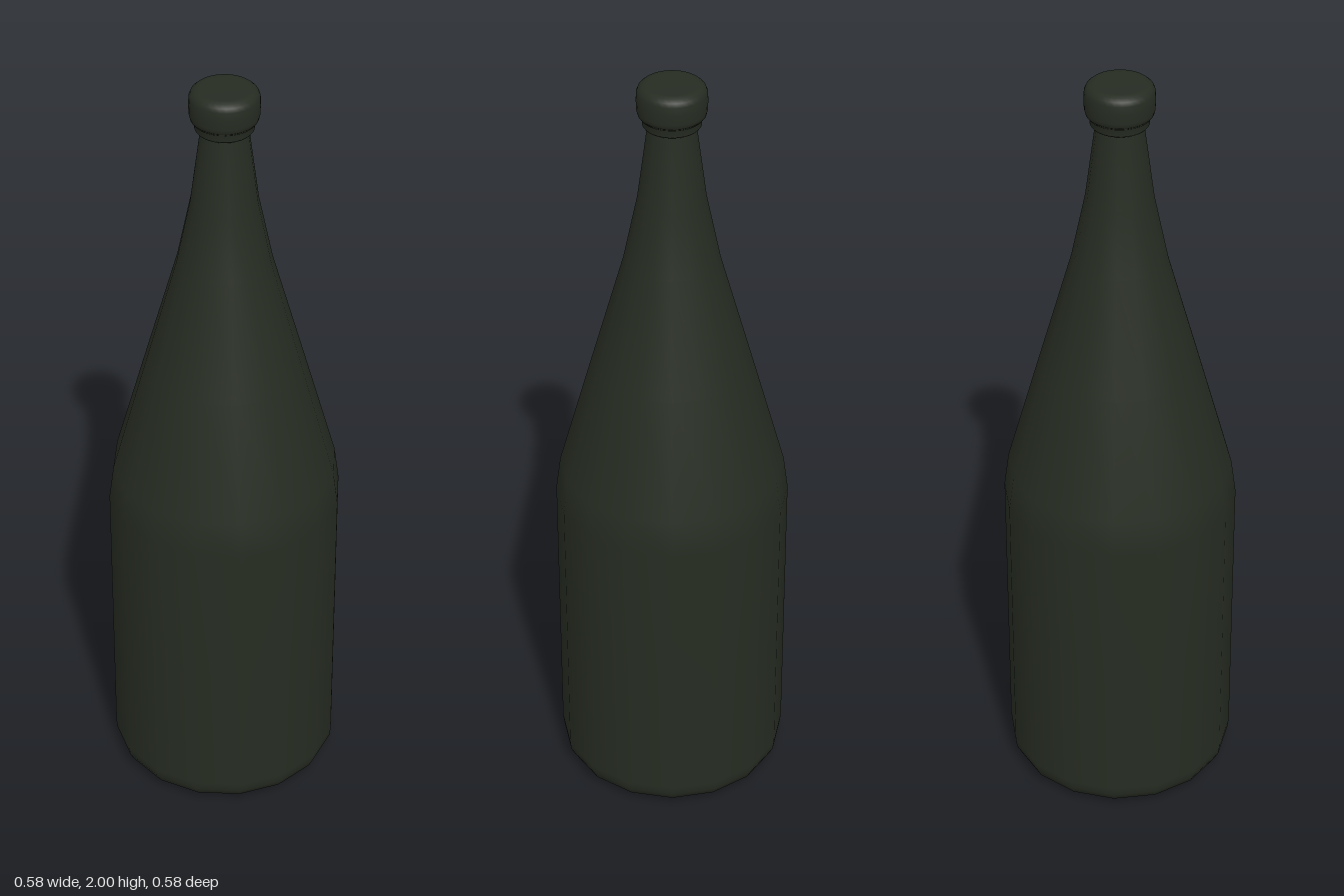
import * as THREE from 'three';

const glass = new THREE.MeshStandardMaterial({ color: 0x262c22 });

// Revolve a list of [radius, height] pairs, listed from bottom to top
function turned(name, profile, sides) {
  const points = profile.map(([r, y]) => new THREE.Vector2(r, y));
  // Half a step of rotation puts flat sides on the axes
  const mesh = new THREE.Mesh(new THREE.LatheGeometry(points, sides, Math.PI / sides), glass);
  mesh.name = name;
  return mesh;
}

export function createModel() {
  const bottle = new THREE.Group();
  bottle.name = 'bottle';

  // Rounded base, straight body, sloping shoulder and slim neck
  bottle.add(turned('body', [
    [0, 0], [0.1, 0], [0.235, 0.002], [0.262, 0.008], [0.282, 0.024], [0.293, 0.046], [0.296, 0.07],
    [0.296, 0.45], [0.296, 0.84], [0.284, 0.93],
    [0.2, 1.235], [0.118, 1.53], [0.083, 1.7], [0.057, 1.9], [0.055, 1.94],
  ], 16));

  // Stepped ring under the cap
  bottle.add(turned('collar', [
    [0.05, 1.893], [0.068, 1.893], [0.071, 1.897], [0.071, 1.912], [0.076, 1.916], [0.076, 1.93],
  ], 32));

  // Cap with a softly rounded rim
  bottle.add(turned('cap', [
    [0.05, 1.917], [0.074, 1.917], [0.081, 1.923], [0.084, 1.935], [0.085, 1.96],
    [0.084, 1.98], [0.08, 1.99], [0.072, 1.997], [0.06, 2], [0, 2],
  ], 32));

  return bottle;
}
